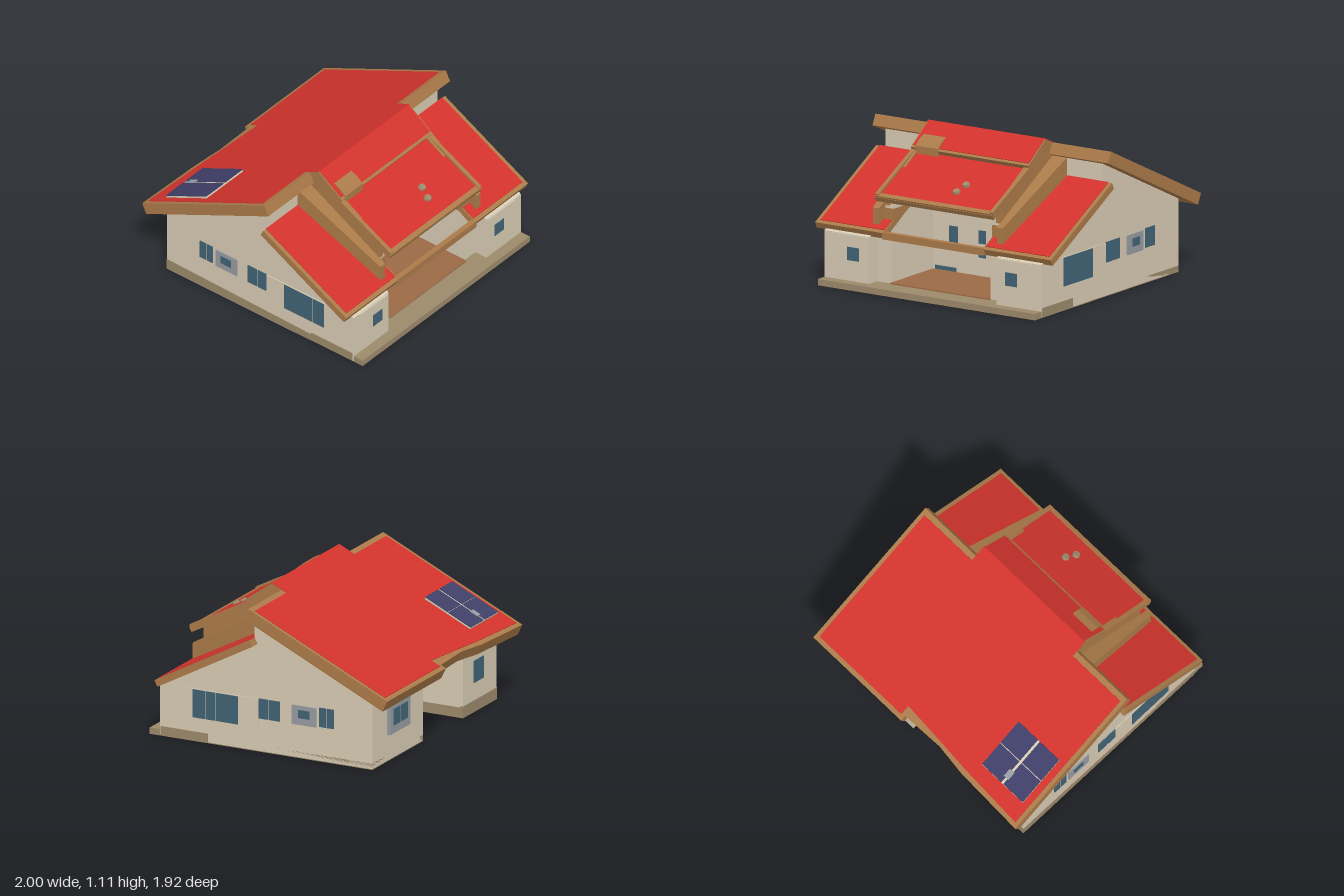
import * as THREE from 'three';

const mat = (name, color) => {
  const m = new THREE.MeshStandardMaterial({ color });
  m.name = name;
  return m;
};

export function createModel() {
  const red = mat('roof red', 0xd2332c);
  const wood = mat('trim brown', 0xab7a49);
  const cream = mat('wall cream', 0xd7cbb3);
  const tan = mat('plinth tan', 0x9c896b);
  const glass = mat('window blue', 0x416375);
  const grey = mat('frame grey', 0x979ca1);
  const navy = mat('solar navy', 0x403f68);
  const deck = mat('porch brown', 0x9a6a45);

  const house = new THREE.Group();
  house.name = 'house';

  const add = (name, geo, material) => {
    const mesh = new THREE.Mesh(geo, material);
    mesh.name = name;
    house.add(mesh);
    return mesh;
  };
  const toShape = pts => new THREE.Shape(pts.map(p => new THREE.Vector2(p[0], p[1])));
  const rect = (x0, x1, z0, z1) => [[x0, z0], [x1, z0], [x1, z1], [x0, z1]];

  // Box given by its limits on each axis
  const box = (name, m, x0, x1, y0, y1, z0, z1) => {
    const g = new THREE.BoxGeometry(Math.abs(x1 - x0), y1 - y0, z1 - z0);
    g.translate((x0 + x1) / 2, (y0 + y1) / 2, (z0 + z1) / 2);
    return add(name, g, m);
  };
  // Side profile in (z, y) extruded between two x positions
  const profile = (name, m, pts, xa, xb) => {
    const g = new THREE.ExtrudeGeometry(toShape(pts), { depth: Math.abs(xb - xa), bevelEnabled: false });
    g.rotateY(-Math.PI / 2);
    g.translate(Math.max(xa, xb), 0, 0);
    return add(name, g, m);
  };
  // Plan outline in (x, z) laid on a slope, thickness measured square to it
  const slab = (name, m, pts, thick, height, holes = []) => {
    const shape = toShape(pts);
    holes.forEach(h => shape.holes.push(toShape(h)));
    const g = new THREE.ExtrudeGeometry(shape, { depth: thick, bevelEnabled: false });
    g.rotateX(Math.PI / 2);
    const slope = height(1) - height(0);
    const k = 1 / Math.hypot(1, slope);
    const p = g.attributes.position;
    for (let i = 0; i < p.count; i++) {
      const d = p.getY(i), z = p.getZ(i);
      p.setY(i, height(z) + d * k);
      p.setZ(i, z - d * k * slope);
    }
    g.computeVertexNormals();
    return add(name, g, m);
  };
  const lift = (f, d) => z => f(z) + d;

  // Roof slopes: height of the top surface at depth z
  const mainY = z => 1.1 + 0.466 * (z - 0.22);
  const upperY = z => 1.1 - 0.72 * (z - 0.22);
  const lowerY = z => 0.9 - 0.52 * (z - 0.44);
  const wingY = z => 0.835 - 0.54 * (z - 0.13);

  // Main roof with stepped back edge
  slab('mainRoofTrim', wood, [[1, 0.14], [1, -0.96], [0.13, -0.96], [0.13, -0.92], [-0.2, -0.91], [-0.45, -0.94],
    [-1, -0.96], [-1, 0.14], [-0.5, 0.14], [-0.5, 0.22], [0.5, 0.22], [0.5, 0.14]], 0.085, mainY);
  slab('mainRoof', red, [[0.97, 0.1], [0.97, -0.93], [0.16, -0.93], [0.16, -0.86], [-0.2, -0.885], [-0.45, -0.905],
    [-0.97, -0.93], [-0.97, 0.1], [-0.5, 0.1], [-0.5, 0.22], [0.5, 0.22], [0.5, 0.1]], 0.006, lift(mainY, 0.005));

  // Two-step centre roof over the porch, the lower one with raised rails
  slab('upperPorchRoofTrim', wood, rect(-0.5, 0.5, 0.22, 0.43), 0.05, upperY);
  slab('upperPorchRoof', red, rect(-0.49, 0.49, 0.22, 0.415), 0.006, lift(upperY, 0.005));
  slab('lowerPorchRoofTrim', wood, rect(-0.5, 0.5, 0.36, 0.87), 0.035, lowerY);
  slab('lowerPorchRoof', red, rect(-0.48, 0.48, 0.38, 0.85), 0.006, lift(lowerY, 0.005));
  for (const x of [-0.5, 0.47]) slab('porchRoofRail', wood, rect(x, x + 0.03, 0.4, 0.87), 0.03, lift(lowerY, 0.023));
  slab('porchRoofFrontRail', wood, rect(-0.5, 0.5, 0.84, 0.872), 0.03, lift(lowerY, 0.012));
  // Bulky trim corner beneath the upper step
  profile('trimCorner', wood, [[0.3, 0.9], [0.43, 0.9], [0.43, 0.965], [0.38, 1.005], [0.3, 1.04]], -0.46, -0.27);

  // Flat roof vents
  [[0.12, 0.645], [0.09, 0.72]].forEach(([x, z]) => {
    const cap = add('roofVent', new THREE.CylinderGeometry(0.024, 0.03, 0.022, 12), tan);
    cap.position.set(x, lowerY(z) + 0.012, z);
    cap.rotation.x = 0.48;
  });

  // Solar panel: pale backing with four cells
  slab('solarFrame', cream, rect(-0.92, -0.52, -0.81, -0.45), 0.025, lift(mainY, 0.02));
  for (const x of [-0.92, -0.71]) for (const z of [-0.81, -0.627]) {
    slab('solarCell', navy, rect(x, x + 0.19, z, z + 0.177), 0.006, lift(mainY, 0.026));
  }
  slab('solarBox', grey, rect(-0.74, -0.695, -0.77, -0.71), 0.01, lift(mainY, 0.032));

  for (const s of [1, -1]) {
    // Side wings: gabled body, front step, roof
    profile('wingWalls', cream, [[0.78, 0.01], [0.78, 0.43], [0.17, 0.78], [0.13, 0.8], [0.13, 0.973],
      [-0.8, 0.54], [-0.8, 0.01]], s * 0.42, s * 0.92);
    profile('wingFront', cream, [[0.88, 0.01], [0.88, 0.385], [0.77, 0.44], [0.77, 0.01]], s * 0.54, s * 0.92);
    box('frontPanel', cream, s * 0.55, s * 0.85, 0.09, 0.38, 0.875, 0.888);
    const wing = rect(0.42, 1, 0.13, 0.88).map(([x, z]) => [s * x, z]);
    slab('wingRoofTrim', wood, wing, 0.05, wingY);
    const tiles = rect(0.43, 0.97, 0.13, 0.855).map(([x, z]) => [s * x, z]);
    slab('wingRoof', red, tiles, 0.006, lift(wingY, 0.005));

    // Tapered beam where wing roof meets porch roof
    const beam = profile('valleyBeam', wood, [[0.13, 0.97], [0.82, 0.585], [0.82, 0.47], [0.13, 0.84]], s * 0.5, s * 0.6);
    const p = beam.geometry.attributes.position;
    for (let i = 0; i < p.count; i++) {
      if (Math.abs(p.getX(i)) > 0.55) p.setX(i, s * (0.62 - 0.1 * (p.getZ(i) - 0.13)));
    }
    beam.geometry.computeVertexNormals();
    profile('porchRoofCheek', wood, [[0.13, 1.04], [0.23, 1.07], [0.42, 0.93], [0.76, 0.72], [0.76, 0.6], [0.13, 0.88]], s * 0.45, s * 0.5);
    box('porchPost', wood, s * 0.42, s * 0.5, 0.46, 0.58, 0.62, 0.76);
    box('postCap', cream, s * 0.42, s * 0.49, 0.58, 0.66, 0.62, 0.75);

    // Front wing window in two panes
    for (const x of [0.62, 0.672]) box('frontWindow', glass, s * x, s * (x + 0.048), 0.2, 0.295, 0.887, 0.893);

    // Side windows: [z0, z1, y0, y1]
    box('sideWindowFrame', cream, s * 0.918, s * 0.926, 0.17, 0.39, 0.1, 0.65);
    [[0.52, 0.615, 0.18, 0.385], [0.44, 0.515, 0.18, 0.385], [0.26, 0.435, 0.18, 0.385], [0.02, 0.095, 0.25, 0.395],
      [-0.07, 0.01, 0.25, 0.395], [-0.5, -0.445, 0.26, 0.4], [-0.435, -0.385, 0.26, 0.4]].forEach(([z0, z1, y0, y1]) =>
      box('sideWindow', glass, s * 0.922, s * 0.93, y0, y1, z0, z1));
    box('sideGreyWindow', grey, s * 0.92, s * 0.929, 0.25, 0.39, -0.36, -0.165);
    box('sideGreyPane', glass, s * 0.926, s * 0.932, 0.3, 0.36, -0.31, -0.22);
    box('sidePlinth', tan, s * 0.9, s * 0.925, 0.01, 0.075, 0.5, 0.87);

    // Porch windows beside the door
    box('porchWindow', glass, s * 0.21, s * 0.28, 0.27, 0.385, 0.268, 0.276);
    box('lowPorchWindow', glass, s * 0.22, s * 0.4, 0.06, 0.088, 0.268, 0.276);
    box('upperWindow', glass, s * 0.23, s * 0.34, 0.57, 0.7, 0.268, 0.276);
    box('upperWindow', glass, s * 0.04, s * 0.12, 0.57, 0.7, 0.268, 0.276);
  }

  // Centre walls between the wings
  box('porchWall', cream, -0.44, 0.44, 0.01, 0.95, 0.23, 0.27);
  box('backWall', cream, -0.42, 0.42, 0.01, 0.69, -0.47, -0.43);
  profile('backRoom', cream, [[-0.45, 0.01], [-0.45, 0.7], [-0.8, 0.54], [-0.8, 0.01]], 0.17, 0.42);

  // Door panes and centre window
  box('doorPane', glass, -0.03, 0.03, 0.19, 0.26, 0.268, 0.276);
  box('doorPane', glass, -0.03, 0.03, 0.29, 0.385, 0.268, 0.276);
  box('centreWindow', glass, -0.03, 0.03, 0.54, 0.7, 0.268, 0.278);

  // Porch floor, front beam and base
  box('porchBeam', wood, -0.43, 0.43, 0.385, 0.435, 0.84, 0.88);
  box('porchFloor', deck, -0.42, 0.42, 0.045, 0.058, 0.25, 0.8);
  slab('baseSlab', tan, [[-0.92, 0.96], [0.92, 0.96], [0.92, -0.8], [0.17, -0.8], [0.17, -0.46],
    [-0.42, -0.46], [-0.42, -0.8], [-0.92, -0.8]], 0.046, () => 0.05,
  [rect(-0.38, 0.38, 0, 0.42), rect(-0.36, 0.36, -0.4, -0.12)]);
  box('basePatch', deck, -0.2, 0.4, 0, 0.006, 0.46, 0.78);
  box('crossBeam', wood, -0.42, 0.42, 0.42, 0.48, -0.09, -0.03);

  // Plinth bands around the back corner
  box('backPlinth', tan, -0.922, -0.418, 0.005, 0.09, -0.803, -0.78);
  box('recessPlinth', tan, -0.42, 0.17, 0.005, 0.08, -0.473, -0.45);
  box('recessPlinth', tan, -0.43, -0.417, 0.005, 0.08, -0.8, -0.47);
  profile('sideBand', tan, [[-0.802, 0.005], [-0.802, 0.09], [0.5, 0.06], [0.5, 0.005]], -0.923, -0.9);

  // Back windows
  box('backBayFrame', grey, 0.4, 0.7, 0.2, 0.44, -0.825, -0.79);
  box('backBayPane', glass, 0.45, 0.54, 0.26, 0.38, -0.831, -0.823);
  box('backBayPane', glass, 0.56, 0.65, 0.26, 0.38, -0.831, -0.823);
  for (const x of [-0.72, -0.645]) box('backWindow', glass, x, x + 0.07, 0.22, 0.38, -0.807, -0.799);
  for (const x of [-0.27, 0.0]) {
    box('recessWindowFrame', grey, x - 0.015, x + 0.105, 0.23, 0.38, -0.476, -0.468);
    box('recessWindow', glass, x, x + 0.09, 0.245, 0.365, -0.48, -0.474);
  }
  return house;
}
